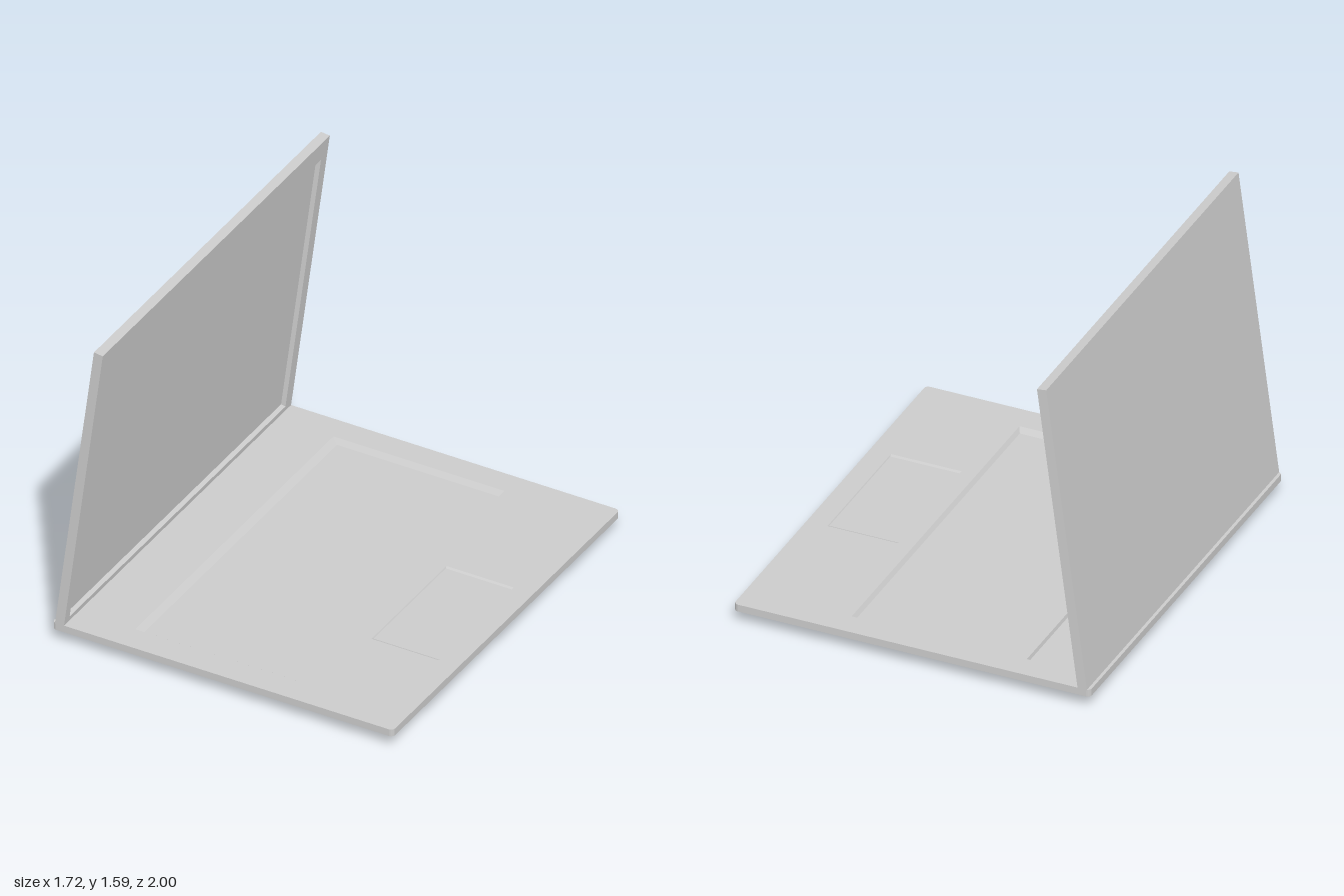
import * as THREE from 'three';

const material = new THREE.MeshStandardMaterial({ color: 0xcccccc });

function addMesh(parent, name, geometry) {
  const mesh = new THREE.Mesh(geometry, material);
  mesh.name = name;
  parent.add(mesh);
  return mesh;
}

// Rectangle corners, counter-clockwise
const rect = (x0, x1, y0, y1) => [[x0, y0], [x1, y0], [x1, y1], [x0, y1]];

// Rounded rectangle outline, counter-clockwise
function roundedOutline(hx, hy, r, steps = 4) {
  const points = [];
  [[1, 1], [-1, 1], [-1, -1], [1, -1]].forEach(([sx, sy], corner) => {
    for (let i = 0; i <= steps; i++) {
      const a = (corner + i / steps) * Math.PI / 2;
      points.push(new THREE.Vector2(sx * (hx - r) + r * Math.cos(a), sy * (hy - r) + r * Math.sin(a)));
    }
  });
  return points;
}

// Flat plate whose front lies at z = 0, with rectangular openings
function plateGeometry(outline, thickness, openings) {
  const shape = new THREE.Shape(outline);
  for (const o of openings) {
    shape.holes.push(new THREE.Path(rect(...o).reverse().map(p => new THREE.Vector2(...p))));
  }
  const geometry = new THREE.ExtrudeGeometry(shape, { depth: thickness, bevelEnabled: false });
  return geometry.translate(0, 0, -thickness);
}

// Geometry from quads of [x, y, z] corners
function quadGeometry(quads) {
  const geometry = new THREE.BufferGeometry();
  const positions = quads.flatMap(([a, b, c, d]) => [a, b, c, a, c, d]).flat();
  geometry.setAttribute('position', new THREE.Float32BufferAttribute(positions, 3));
  geometry.computeVertexNormals();
  return geometry;
}

// Sloping walls and floor that fill one opening
function recessGeometry([x0, x1, y0, y1], [l, r, b, t], depth) {
  const rim = rect(x0, x1, y0, y1).map(p => [...p, 0]);
  const floor = rect(x0 + l, x1 - r, y0 + b, y1 - t).map(p => [...p, -depth]);
  const walls = rim.map((p, i) => [p, rim[(i + 1) % 4], floor[(i + 1) % 4], floor[i]]);
  return quadGeometry([...walls, floor]);
}

// Wedge under the base: sloping rim and a tilted flat bottom
function undersideGeometry(outline, rimY) {
  const outer = outline.map(p => [p.x, rimY, -p.y]);
  const inner = outline.map(p => {
    const t = (p.x + 0.86) / 1.72;
    return [-0.8 + 1.58 * t, rimY * (1 - t), -p.y * (p.x > 0 ? 0.8 : 0.975)];
  });
  const n = outer.length;
  const centre = [-0.01, rimY / 2, 0];
  const quads = [];
  for (let i = 0; i < n; i++) {
    const j = (i + 1) % n;
    quads.push([outer[i], inner[i], inner[j], outer[j]]);
    quads.push([inner[i], centre, centre, inner[j]]);
  }
  return quadGeometry(quads);
}

export function createModel() {
  const model = new THREE.Group();
  model.name = 'laptop';

  // Base: local y points to -z, local z points up
  const base = new THREE.Group();
  base.name = 'base';
  base.rotation.x = -Math.PI / 2;
  base.position.y = 0.095;
  model.add(base);
  const outline = roundedOutline(0.86, 1, 0.02);
  const keyboard = [-0.515, 0.347, -0.868, 0.878];
  const touchpad = [0.42, 0.76, -0.42, 0.24];
  addMesh(base, 'baseDeck', plateGeometry(outline, 0.035, [keyboard, touchpad]));
  addMesh(base, 'keyboardRecess', recessGeometry(keyboard, [0.03, 0.013, 0.026, 0.024], 0.02));
  addMesh(base, 'touchpadRecess', recessGeometry(touchpad, [0.003, 0.003, 0.012, 0.012], 0.005));
  addMesh(model, 'underside', undersideGeometry(outline, 0.06));

  // Lid: hinged near -x, leaning over the base
  const lid = new THREE.Group();
  lid.name = 'lid';
  lid.position.set(-0.801, 0.085, 0);
  lid.rotation.z = -0.131;
  model.add(lid);
  const panel = new THREE.Group();
  panel.name = 'lidPanel';
  panel.rotation.y = Math.PI / 2;
  lid.add(panel);
  const height = 1.508;
  const screen = [-0.956, 0.945, 0.035, 1.407];
  const lidOutline = rect(-1, 1, 0, height).map(p => new THREE.Vector2(...p));
  addMesh(panel, 'screenBezel', plateGeometry(lidOutline, 0.02, [screen]));
  addMesh(panel, 'screen', recessGeometry(screen, [0.01, 0.01, 0.01, 0.01], 0.018));
  addMesh(panel, 'lidBack', new THREE.BoxGeometry(2, height, 0.025)).position.set(0, height / 2, -0.0325);

  return model;
}
